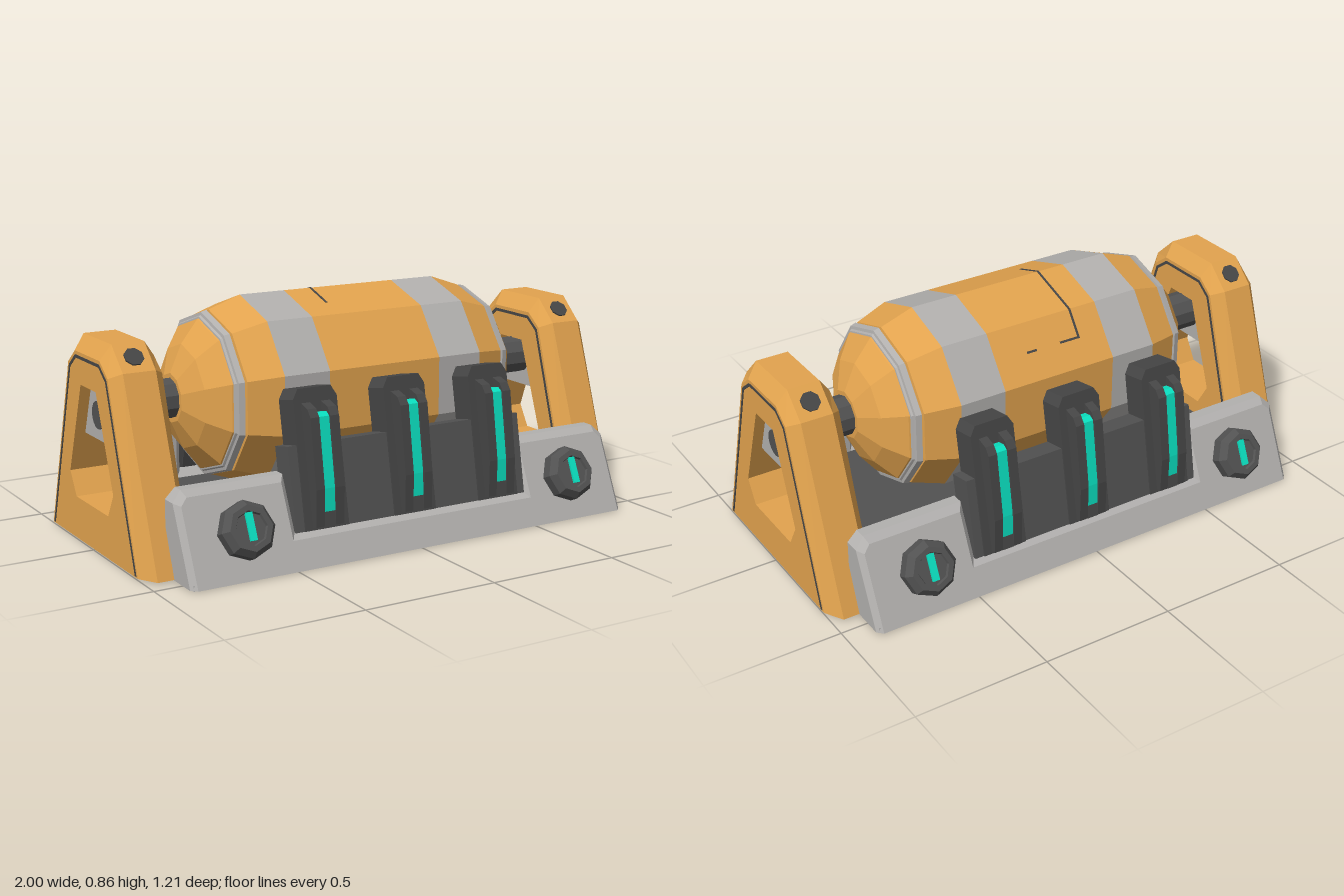
import * as THREE from 'three';

const mat = (name, color) => {
  const m = new THREE.MeshStandardMaterial({ color, flatShading: true });
  m.name = name;
  return m;
};

export function createModel() {
  const orange = mat('orange paint', 0xe2a34e);
  const grey = mat('light grey metal', 0xb2b0ae);
  const dark = mat('dark grey metal', 0x525252);
  const charcoal = mat('charcoal metal', 0x464646);
  const teal = mat('teal light', 0x0ae0c0);

  const model = new THREE.Group();
  model.name = 'tankOnCradle';

  const add = (parent, name, geo, material, x = 0, y = 0, z = 0) => {
    const m = new THREE.Mesh(geo, material);
    m.name = name;
    m.position.set(x, y, z);
    parent.add(m);
    return m;
  };
  const box = (w, h, d) => new THREE.BoxGeometry(w, h, d);
  const shapeOf = pts => new THREE.Shape(pts.map(p => new THREE.Vector2(...p)));
  const mirrored = half => [...half, ...half.map(([u, v]) => [-u, v]).reverse()];
  const extrude = (shape, depth, more = {}) =>
    new THREE.ExtrudeGeometry(shape, { depth, bevelEnabled: false, ...more });

  // Ten-sided tank lying along x, one ridge pointing up
  const tank = new THREE.Group();
  tank.name = 'tank';
  tank.position.y = 0.51;
  model.add(tank);
  const turned = (pts, sides) => new THREE.LatheGeometry(pts.map(p => new THREE.Vector2(...p)), sides)
    .rotateX(-Math.PI / 2).rotateY(Math.PI / 2).rotateZ(Math.PI);
  const R = 0.345;
  add(tank, 'tankMiddle', turned([[R, -0.23], [R, 0.23]], 10), orange);
  for (const side of [1, -1]) {
    const end = new THREE.Group();
    end.name = side > 0 ? 'leftTankEnd' : 'rightTankEnd';
    if (side < 0) end.rotation.y = Math.PI;
    tank.add(end);
    add(end, 'tankBand', turned([[R, 0.23], [R, 0.41]], 10), grey);
    add(end, 'tankShoulder', turned([[R, 0.41], [0.302, 0.535], [0.288, 0.537]], 10), orange);
    add(end, 'collarRing', turned([[0.288, 0.535], [0.288, 0.542], [0.302, 0.544], [0.296, 0.565], [0.285, 0.567], [0.28, 0.574], [0.265, 0.576]], 10), grey);
    add(end, 'tankCap', turned([[0.278, 0.565], [0.272, 0.58], [0.19, 0.645], [0.09, 0.69], [0, 0.69]], 10), orange);
    add(end, 'axle', turned([[0.073, 0.66], [0.073, 0.86]], 10), dark);
  }

  // Hatch seam on the tank facets: [tilt, width, length, x, z]
  const deg = Math.PI / 180;
  for (const [tilt, w, d, x, z] of [
    [-18, 0.008, 0.213, -0.12, 0], [18, 0.008, 0.12, -0.12, -0.045],
    [-54, 0.008, 0.106, -0.12, 0.053], [-54, 0.084, 0.008, -0.082, 0], [-54, 0.04, 0.008, 0.08, 0],
  ]) {
    const facet = new THREE.Group();
    facet.name = 'hatchSeam';
    facet.rotation.x = tilt * deg;
    tank.add(facet);
    add(facet, 'seamStrip', box(w, 0.004, d), charcoal, x, R * Math.cos(18 * deg), z);
  }

  // A-frame end supports: full outline in the middle, pulled in at both faces
  const outline = mirrored([[0.445, 0], [0.21, 0.66], [0.12, 0.745]]);
  const face = mirrored([[0.375, 0], [0.172, 0.64], [0.108, 0.69]]);
  const frameShape = shapeOf(outline);
  frameShape.holes.push(shapeOf(mirrored([[0.14, 0.155], [0.19, 0.24], [0.066, 0.575]])));
  const frameGeo = extrude(frameShape, 0.2, { steps: 5 }).translate(0, 0, -0.1);
  const fp = frameGeo.attributes.position;
  for (let i = 0; i < fp.count; i++) {
    if (Math.abs(fp.getZ(i)) < 0.099) continue;
    const k = outline.findIndex(([u, v]) => Math.hypot(u - fp.getX(i), v - fp.getY(i)) < 1e-4);
    if (k >= 0) fp.setXY(i, ...face[k]);
  }
  frameGeo.rotateY(Math.PI / 2);
  const lineOuter = mirrored([[0.364, 0.005], [0.163, 0.632], [0.104, 0.677]]);
  const lineInner = mirrored([[0.353, 0.005], [0.154, 0.625], [0.1, 0.666]]).reverse();
  const lineGeo = extrude(shapeOf([...lineOuter, ...lineInner]), 0.003).translate(0, 0, -0.0015).rotateY(Math.PI / 2);
  const hubGeo = extrude(shapeOf(mirrored([[0.137, 0.385], [0.066, 0.575]])), 0.12)
    .translate(0, 0, -0.06).rotateY(Math.PI / 2);
  const padGeo = new THREE.CylinderGeometry(0.036, 0.036, 0.008, 8).rotateY(Math.PI / 8);

  for (const side of [1, -1]) {
    const support = new THREE.Group();
    support.name = side > 0 ? 'leftSupport' : 'rightSupport';
    support.position.set(side * 0.9, 0.005, 0);
    if (side < 0) support.rotation.y = Math.PI;
    model.add(support);
    add(support, 'supportFrame', frameGeo, orange);
    add(support, 'outerPanelLine', lineGeo, charcoal, 0.1);
    add(support, 'innerPanelLine', lineGeo, charcoal, -0.1);
    add(support, 'hubPlate', hubGeo, grey);
    const pin = add(support, 'axlePin', new THREE.CylinderGeometry(0.05, 0.05, 0.01, 16), dark, 0.063, 0.477, 0);
    pin.rotation.z = Math.PI / 2;
    for (const s of [1, -1]) {
      const pad = add(support, 'shoulderPad', padGeo, charcoal, 0, 0.704, s * 0.166);
      pad.rotation.x = s * 0.757;
    }
  }

  // Floor
  add(model, 'underside', box(1.78, 0.02, 1.14), grey, 0, 0.01, 0);
  add(model, 'floor', box(1.64, 0.09, 0.78), dark, 0, 0.055, 0);

  // Sloped, notched rail: bevelled slab whose outer face leans inward
  const railShape = shapeOf(mirrored([[0.88, 0], [0.88, 0.26], [0.855, 0.285], [0.5, 0.285], [0.5, 0.1]]));
  const railGeo = extrude(railShape, 0.18, { bevelEnabled: true, bevelSize: 0.02, bevelThickness: 0.02, bevelSegments: 1 });
  railGeo.translate(0, 0, 0.385);
  const rp = railGeo.attributes.position;
  for (let i = 0; i < rp.count; i++) {
    const y = Math.max(rp.getY(i), 0.003), z = rp.getZ(i);
    rp.setY(i, y);
    if (z > 0.5) rp.setZ(i, z - 0.45 * y);
  }

  // Shared pieces of the side assembly
  const sideProfile = (pts, width) => extrude(shapeOf(pts), width)
    .translate(0, 0, -width / 2).rotateY(-Math.PI / 2);
  const pillarGeo = extrude(shapeOf(mirrored([[0.086, 0], [0.086, 0.45], [0.065, 0.485]])), 0.1).translate(0, 0, -0.1);
  const cheekGeo = sideProfile([[0, 0.01], [0.02, 0.01], [0.046, 0.14], [0.055, 0.385], [0.04, 0.415], [0, 0.435]], 0.034);
  const stripGeo = sideProfile([[0, 0.06], [0.025, 0.06], [0.038, 0.14], [0.046, 0.385], [0.03, 0.4], [0, 0.4]], 0.044);
  const knobGeo = new THREE.LatheGeometry([[0.1, -0.03], [0.1, 0.035], [0.08, 0.06], [0.06, 0.06], [0.056, 0.052], [0, 0.052]]
    .map(p => new THREE.Vector2(...p)), 8).rotateX(Math.PI / 2);

  for (const side of [1, -1]) {
    const flank = new THREE.Group();
    flank.name = side > 0 ? 'frontFlank' : 'backFlank';
    if (side < 0) flank.rotation.y = Math.PI;
    model.add(flank);
    add(flank, 'rail', railGeo, grey);

    // Leaning wall with three lit pillars
    const wall = new THREE.Group();
    wall.name = 'pillarWall';
    wall.position.set(0, 0.12, 0.53);
    wall.rotation.x = -0.19;
    flank.add(wall);
    add(wall, 'backPanel', box(0.96, 0.295, 0.09), dark, 0, 0.1475, -0.051);
    for (const x of [-0.36, 0, 0.36]) {
      add(wall, 'pillar', pillarGeo, charcoal, x);
      for (const s of [1, -1]) add(wall, 'pillarCheek', cheekGeo, charcoal, x + s * 0.039);
      add(wall, 'lightStrip', stripGeo, teal, x);
      add(wall, 'stripFoot', box(0.044, 0.05, 0.024), charcoal, x, 0.035, 0.01);
    }

    // Octagonal knobs with a lit slot
    for (const x of [-0.675, 0.675]) {
      const knob = new THREE.Group();
      knob.name = 'knob';
      knob.position.set(x, 0.158, 0.518);
      knob.rotation.x = -0.423;
      flank.add(knob);
      add(knob, 'knobBody', knobGeo, dark);
      add(knob, 'knobLight', box(0.026, 0.096, 0.009), teal, 0, 0.006, 0.056);
    }
  }
  return model;
}
